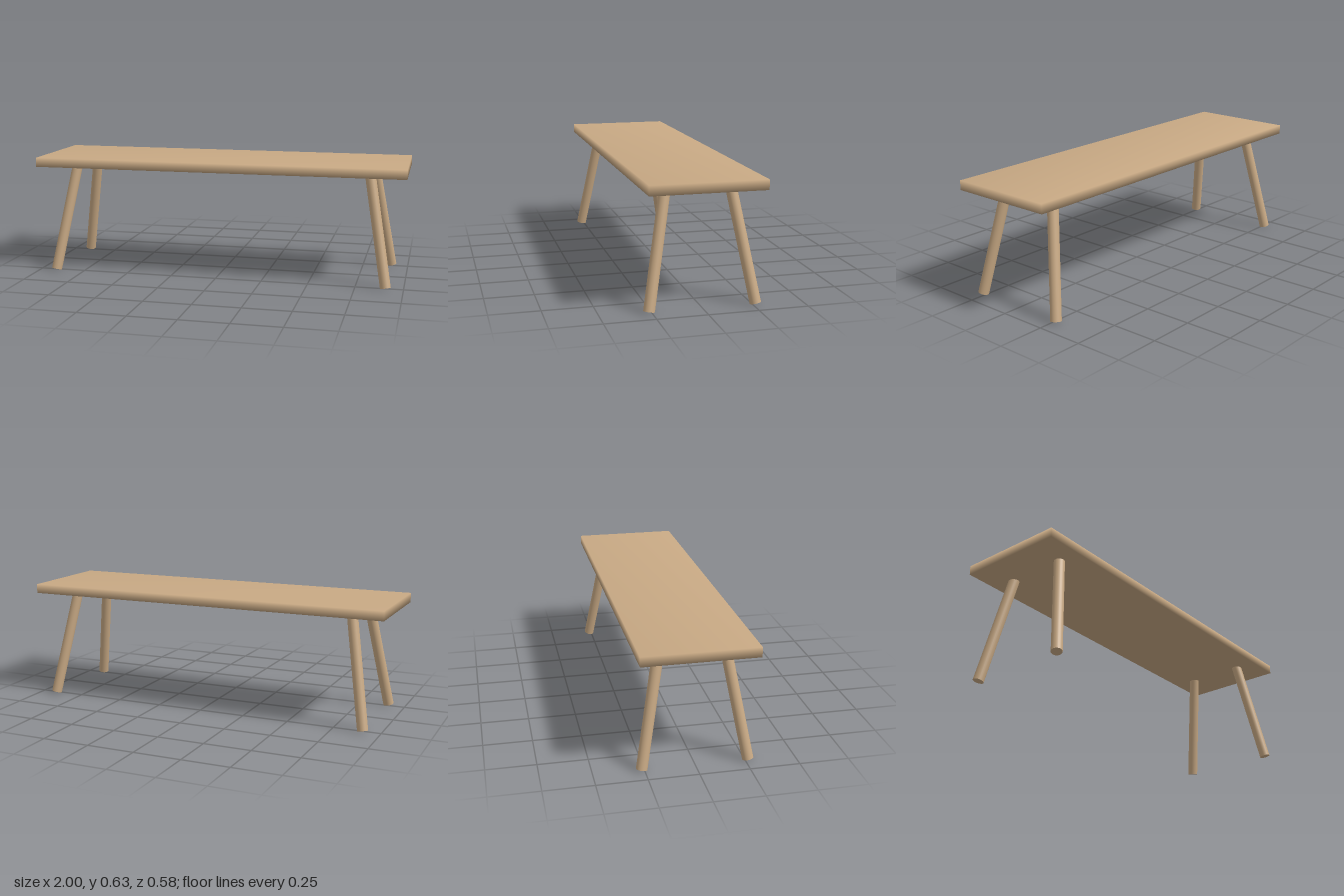
import * as THREE from 'three';
import { mergeVertices } from 'three/addons/utils/BufferGeometryUtils.js';

const wood = new THREE.MeshStandardMaterial({ color: 0xc8a984 });
const UP = new THREE.Vector3(0, 1, 0);

// Plank with shared corners, so its shading is smooth across the edges
function plankGeometry(width, height, depth) {
  const box = new THREE.BoxGeometry(width, height, depth);
  box.deleteAttribute('normal');
  box.deleteAttribute('uv');
  const plank = mergeVertices(box);
  plank.computeVertexNormals();
  return plank;
}

// Round leg between two points, with ends square to its axis
function makeLeg(bottom, top, radius) {
  const axis = top.clone().sub(bottom);
  const leg = new THREE.Mesh(new THREE.CylinderGeometry(radius, radius, axis.length(), 24), wood);
  leg.position.copy(bottom).add(top).multiplyScalar(0.5);
  leg.quaternion.setFromUnitVectors(UP, axis.normalize());
  return leg;
}

export function createModel() {
  const bench = new THREE.Group();
  bench.name = 'bench';

  const seat = new THREE.Mesh(plankGeometry(2, 0.05, 0.572), wood);
  seat.name = 'seat';
  seat.position.y = 0.605;
  bench.add(seat);

  // Four legs, splayed outward both ways and let into the seat
  for (const [xName, sx] of [['Left', 1], ['Right', -1]]) {
    for (const [zName, sz] of [['front', 1], ['back', -1]]) {
      const leg = makeLeg(
        new THREE.Vector3(sx * 0.908, 0.007, sz * 0.264),
        new THREE.Vector3(sx * 0.804, 0.595, sz * 0.158),
        0.028
      );
      leg.name = `${zName}${xName}Leg`;
      bench.add(leg);
    }
  }
  return bench;
}
